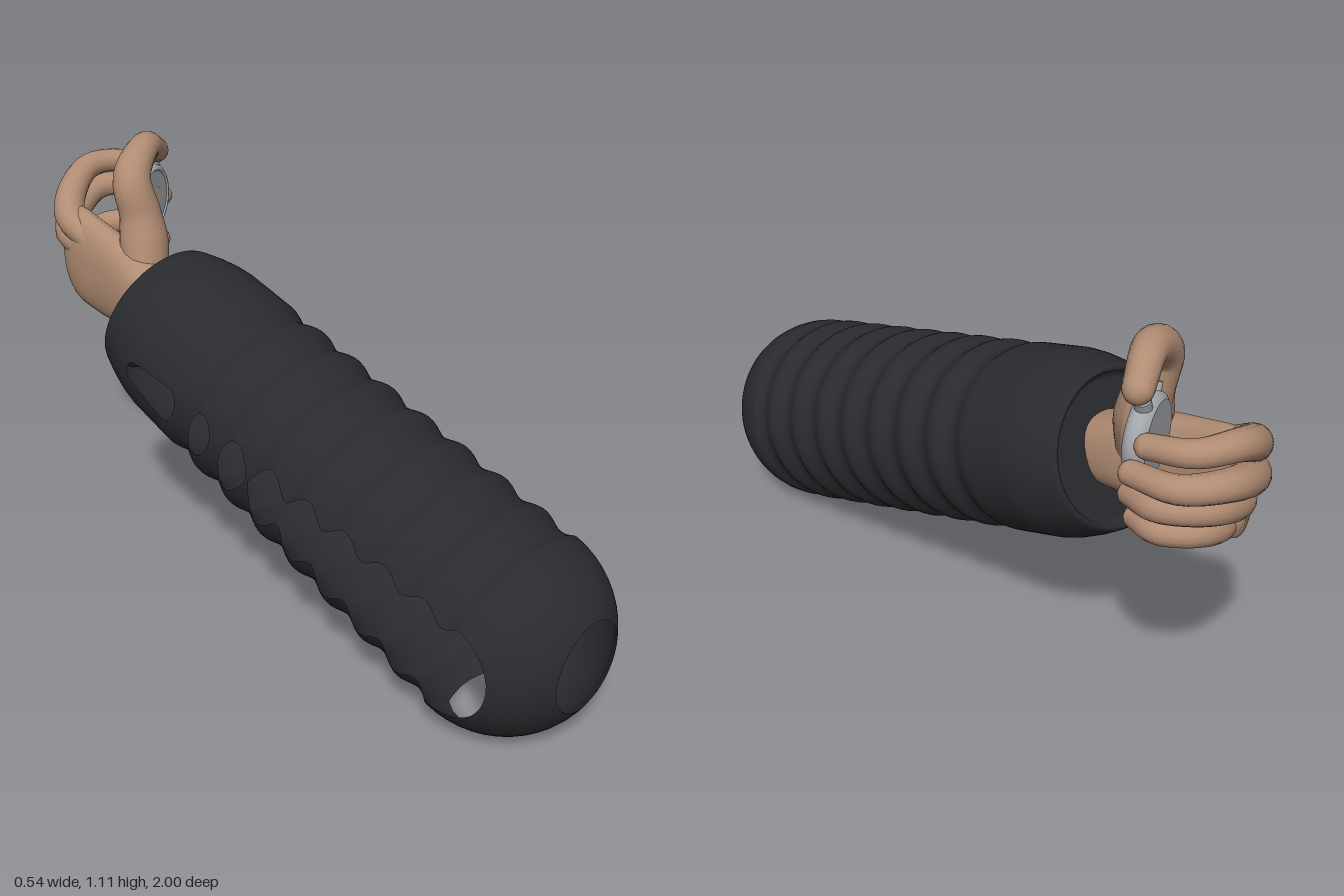
import * as THREE from 'three';
import { mergeGeometries } from 'three/addons/utils/BufferGeometryUtils.js';

const mat = (color, side = THREE.FrontSide) => new THREE.MeshStandardMaterial({ color, side });
const SKIN = mat(0xb18c74);
const FABRIC = mat(0x2a2b2f, THREE.DoubleSide);
const SHELL = mat(0xa3a6ab);
const LABEL = mat(0xb0aa94);
const V = (a) => new THREE.Vector3(...a);

function add(parent, name, geometry, material) {
  const mesh = new THREE.Mesh(geometry, material);
  mesh.name = name;
  parent.add(mesh);
  return mesh;
}

// Keeps the side of a plane where distance >= 0, splitting the triangles it crosses
function clip(geo, plane) {
  const p = geo.attributes.position, n = geo.attributes.normal;
  const pos = [], nor = [];
  for (let i = 0; i < p.count; i += 3) {
    const tri = [0, 1, 2].map((k) => {
      const v = new THREE.Vector3().fromBufferAttribute(p, i + k);
      return { v, n: new THREE.Vector3().fromBufferAttribute(n, i + k), d: plane.distanceToPoint(v) };
    });
    const poly = [];
    tri.forEach((a, k) => {
      const b = tri[(k + 1) % 3];
      if (a.d >= 0) poly.push(a);
      if ((a.d >= 0) !== (b.d >= 0)) {
        const t = a.d / (a.d - b.d);
        poly.push({ v: a.v.clone().lerp(b.v, t), n: a.n.clone().lerp(b.n, t) });
      }
    });
    for (let k = 1; k + 1 < poly.length; k++) {
      for (const c of [poly[0], poly[k], poly[k + 1]]) {
        pos.push(...c.v.toArray());
        nor.push(...c.n.toArray());
      }
    }
  }
  const out = new THREE.BufferGeometry();
  out.setAttribute('position', new THREE.Float32BufferAttribute(pos, 3));
  out.setAttribute('normal', new THREE.Float32BufferAttribute(nor, 3));
  return out;
}

// Ribbed sleeve: round closed end, ripples, narrowing cuff, recessed end wall
function sleeveGeometry() {
  const R = 0.273, pitch = 0.129, pts = [];
  for (let i = 0; i <= 14; i++) {
    const a = (i / 14) * Math.PI / 2;
    pts.push(new THREE.Vector2(R * Math.sin(a), -R * Math.cos(a)));
  }
  for (let s = 0.01; s < 1.16; s += 0.0115) {
    const base = THREE.MathUtils.lerp(0.276, 0.24, s / 1.15);
    const ribbed = s > 0.04 - pitch / 2 && s < 0.04 + 7.5 * pitch;
    const dip = ribbed ? 0.017 * Math.cos(Math.PI * (s - 0.04) / pitch) ** 2 : 0;
    pts.push(new THREE.Vector2(base - dip, s));
  }
  for (const [r, s] of [[0.234, 1.2], [0.222, 1.25], [0.205, 1.302], [0.2, 1.312], [0.192, 1.312],
    [0.188, 1.305], [0.183, 1.29], [0.17, 1.288], [0.05, 1.288]]) pts.push(new THREE.Vector2(r, s));
  let geo = new THREE.LatheGeometry(pts, 80);
  geo.rotateX(-1.239).translate(-0.035, 0.245, 0.755);
  geo = geo.toNonIndexed();
  // flat cuts that open the side, the underside and the front
  geo = clip(geo, new THREE.Plane(V([1, 0, 0]), 0.273));
  geo = clip(geo, new THREE.Plane(V([0, 1, 0]), 0));
  return clip(geo, new THREE.Plane(V([0, 0, -1]), 1));
}

// Tapered tube through joints [x, y, z, radius] with a round tip
function digit(joints) {
  const curve = new THREE.CatmullRomCurve3(joints.map((j) => V(j)), false, 'centripetal');
  const radii = new THREE.CatmullRomCurve3(joints.map((j) => V([j[3], 0, 0])));
  const segs = 28, sides = 16;
  const geo = new THREE.TubeGeometry(curve, segs, 1, sides);
  const p = geo.attributes.position, n = geo.attributes.normal;
  for (let i = 0; i < p.count; i++) {
    const u = Math.floor(i / (sides + 1)) / segs;
    const r = radii.getPoint(curve.getUtoTmapping(u)).x;
    const c = curve.getPointAt(u);
    p.setXYZ(i, c.x + n.getX(i) * r, c.y + n.getY(i) * r, c.z + n.getZ(i) * r);
  }
  geo.computeVertexNormals();
  const end = joints[joints.length - 1];
  const tip = new THREE.SphereGeometry(end[3], 16, 12).translate(end[0], end[1], end[2]);
  return mergeGeometries([geo, tip]);
}

// Wrist and palm: ovals [x, y, z, half width, half height] blended along the hand
function palmGeometry() {
  const sections = [
    [-0.03, 0.66, -0.42, 0.08, 0.09], [-0.03, 0.69, -0.53, 0.076, 0.108],
    [-0.035, 0.705, -0.61, 0.066, 0.125], [-0.037, 0.72, -0.72, 0.056, 0.14],
    [-0.035, 0.74, -0.82, 0.052, 0.145], [-0.025, 0.75, -0.88, 0.042, 0.125],
    [-0.015, 0.75, -0.905, 0.004, 0.06],
  ];
  const mid = new THREE.CatmullRomCurve3(sections.map((s) => V(s)));
  const half = new THREE.CatmullRomCurve3(sections.map((s) => V([s[3], s[4], 0])));
  const geo = new THREE.CylinderGeometry(1, 1, 1, 32, 36, true).rotateX(-Math.PI / 2);
  const p = geo.attributes.position;
  for (let i = 0; i < p.count; i++) {
    const t = THREE.MathUtils.clamp(0.5 - p.getZ(i), 0, 1);
    const c = mid.getPoint(t), h = half.getPoint(t);
    const square = (v) => Math.sign(v) * Math.abs(v) ** 0.85;
    p.setXYZ(i, c.x + square(p.getX(i)) * h.x, c.y + square(p.getY(i)) * h.y, c.z);
  }
  geo.computeVertexNormals();
  return geo;
}

export function createModel() {
  const model = new THREE.Group();
  add(model, 'sleeve', sleeveGeometry(), FABRIC);

  // Hand
  const hand = new THREE.Group();
  hand.name = 'hand';
  model.add(hand);
  add(hand, 'palm', palmGeometry(), SKIN);
  const digits = {
    thumb: [[-0.02, 0.72, -0.57, 0.06], [0.008, 0.83, -0.6, 0.07], [0.012, 0.91, -0.615, 0.06],
      [0.005, 1.01, -0.637, 0.054], [0.1, 1.068, -0.69, 0.042], [0.187, 1.025, -0.745, 0.036]],
    indexFinger: [[-0.045, 0.8, -0.76, 0.04], [-0.045, 0.86, -0.87, 0.045], [0.09, 0.945, -0.95, 0.037],
      [0.195, 0.95, -0.92, 0.032], [0.23, 0.935, -0.82, 0.029]],
    middleFinger: [[-0.04, 0.77, -0.76, 0.04], [-0.035, 0.8, -0.885, 0.045], [0.13, 0.868, -0.963, 0.037],
      [0.225, 0.87, -0.91, 0.033], [0.242, 0.86, -0.79, 0.029]],
    ringFinger: [[-0.035, 0.71, -0.75, 0.04], [-0.02, 0.73, -0.87, 0.044], [0.12, 0.772, -0.905, 0.036],
      [0.195, 0.772, -0.83, 0.033], [0.18, 0.755, -0.735, 0.03]],
    littleFinger: [[-0.03, 0.66, -0.73, 0.04], [-0.005, 0.66, -0.84, 0.042], [0.1, 0.685, -0.865, 0.034],
      [0.16, 0.682, -0.8, 0.031], [0.15, 0.675, -0.725, 0.028]],
  };
  for (const [name, joints] of Object.entries(digits)) add(hand, name, digit(joints), SKIN);

  // Round handheld device
  const device = new THREE.Group();
  device.name = 'device';
  device.position.set(0.143, 0.893, -0.738);
  device.rotation.set(0, 0.42, -0.35);
  model.add(device);
  const rim = [[0, -0.026], [0.085, -0.026], [0.085, -0.026], [0.097, -0.017], [0.101, -0.008], [0.101, 0.008],
    [0.097, 0.018], [0.088, 0.026], [0.084, 0.026], [0.08, 0.022], [0.08, 0.022], [0, 0.022]];
  const body = new THREE.LatheGeometry(rim.map(([r, y]) => new THREE.Vector2(r, y)), 48).rotateX(Math.PI / 2);
  add(device, 'deviceBody', body, SHELL);
  add(device, 'label', new THREE.BoxGeometry(0.08, 0.04, 0.004), LABEL).position.set(0.01, 0.012, 0.022);
  // push buttons on the rim
  for (const [name, angle, r] of [['topButton', 0.05, 0.02], ['sideButton', -0.75, 0.013]]) {
    const button = add(device, name, new THREE.CylinderGeometry(r, r, 0.03, 20), SHELL);
    button.position.set(Math.sin(angle) * 0.105, Math.cos(angle) * 0.105, 0);
    button.rotation.z = -angle;
  }
  return model;
}
